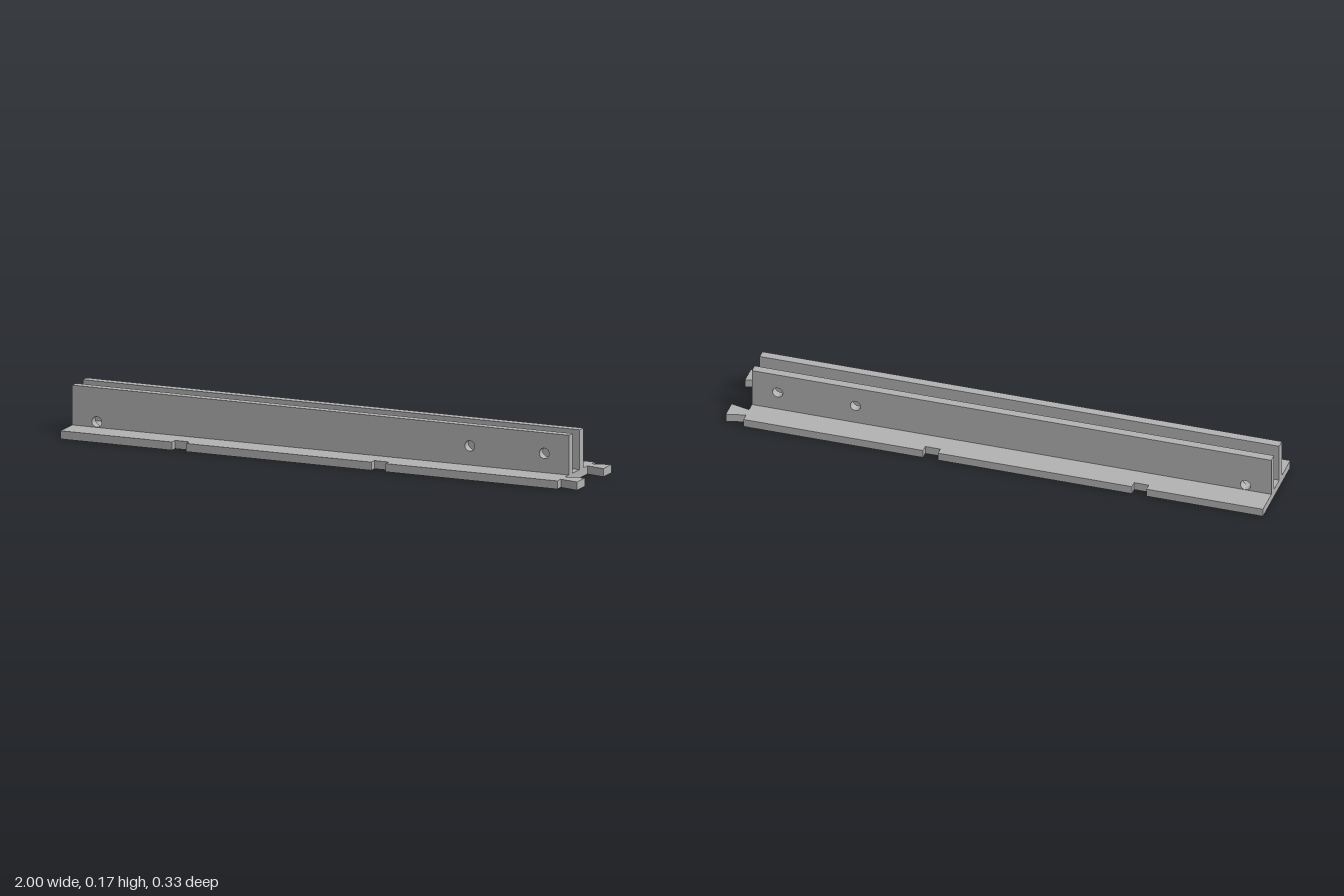
import * as THREE from 'three';

const END = 0.93; // right end of the rail body
const BASE_H = 0.03;
const TOP = 0.175;

// Half outline of the base plate (x, z) on the +z side, from the left end to the right
const halfOutline = [
  [-1, 0.163],
  [-0.567, 0.163], [-0.567, 0.136], [-0.513, 0.136], [-0.513, 0.163],
  [0.207, 0.163], [0.207, 0.136], [0.263, 0.136], [0.263, 0.163],
  [END, 0.163],
  // dovetail tongue
  [END, 0.133], [1, 0.15], [1, 0.08], [END, 0.097],
];

const holes = [[-0.904, 0.05], [0.545, 0.1], [0.834, 0.1]];

export function createModel() {
  const model = new THREE.Group();
  const grey = new THREE.MeshStandardMaterial({ color: 0xb2b2b2 });
  grey.name = 'grey';

  // Base plate with edge notches and two dovetail tongues
  const mirrored = halfOutline.map(([x, z]) => [x, -z]).reverse();
  const outline = [...halfOutline, ...mirrored].map(([x, z]) => new THREE.Vector2(x, z));
  const baseGeo = new THREE.ExtrudeGeometry(new THREE.Shape(outline), { depth: BASE_H, bevelEnabled: false });
  baseGeo.rotateX(Math.PI / 2).translate(0, BASE_H, 0);
  const base = new THREE.Mesh(baseGeo, grey);
  base.name = 'basePlate';
  model.add(base);

  // Two parallel upright walls with through holes
  const wallShape = new THREE.Shape([
    new THREE.Vector2(-1, BASE_H), new THREE.Vector2(END, BASE_H),
    new THREE.Vector2(END, TOP), new THREE.Vector2(-1, TOP),
  ]);
  for (const [x, y] of holes) {
    wallShape.holes.push(new THREE.Path().absarc(x, y, 0.019, 0, Math.PI * 2, true));
  }
  const wallGeo = new THREE.ExtrudeGeometry(wallShape, { depth: 0.032, bevelEnabled: false, curveSegments: 32 });
  for (const [name, z] of [['frontWall', 0.031], ['backWall', -0.063]]) {
    const wall = new THREE.Mesh(wallGeo, grey);
    wall.name = name;
    wall.position.z = z;
    model.add(wall);
  }
  return model;
}
